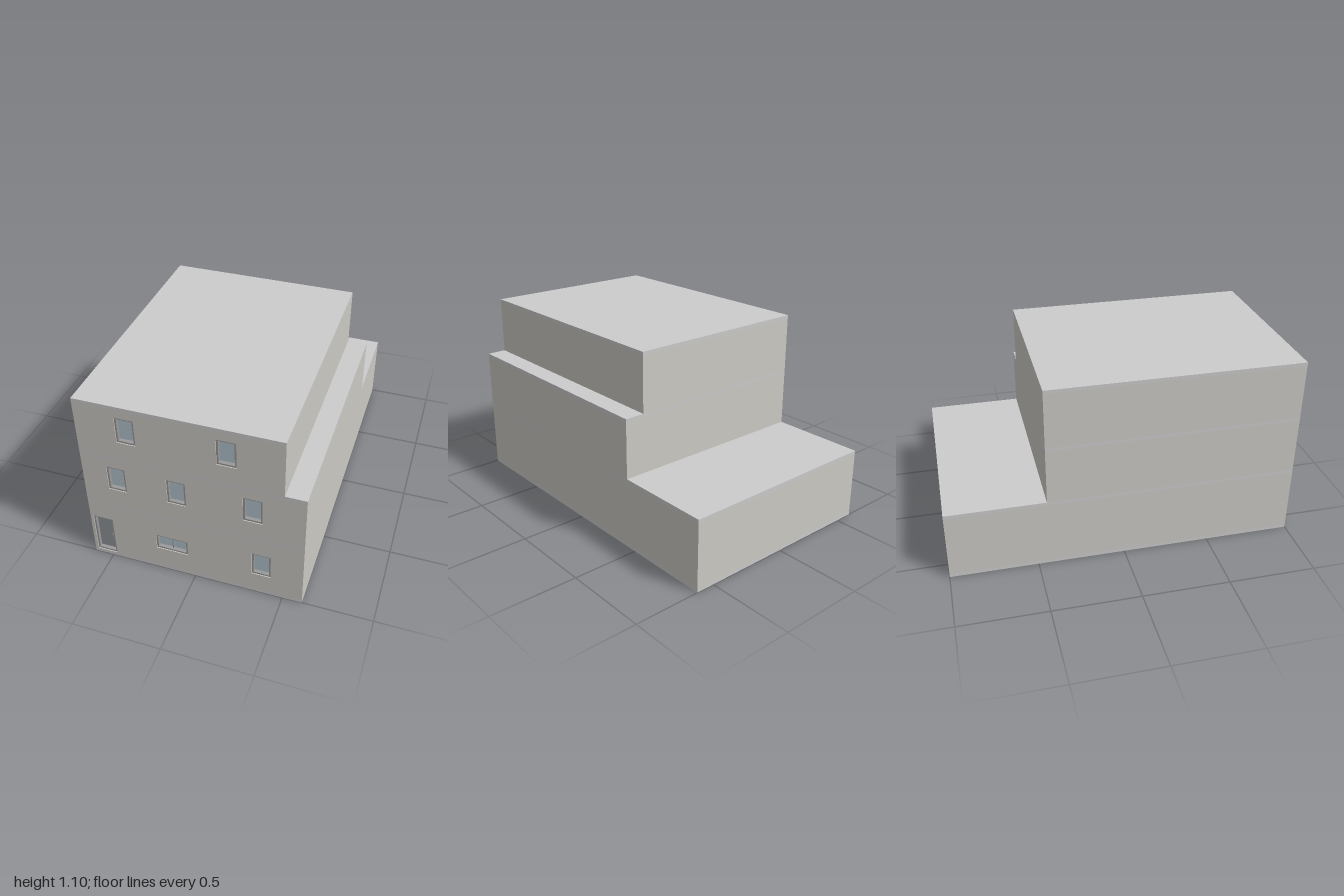
import * as THREE from 'three';

const wallMat = new THREE.MeshStandardMaterial({ color: 0xcccac4 });
const slabMat = new THREE.MeshStandardMaterial({ color: 0xc4c4c3 });
const frameMat = new THREE.MeshStandardMaterial({ color: 0x9a9a9a });
const glassMat = new THREE.MeshStandardMaterial({ color: 0xb4c3cd });
const doorMat = new THREE.MeshStandardMaterial({ color: 0x90959a });

const FRONT = 1, FACADE = 0.04, SLAB = 0.02, RIM = 0.01;

function box(name, mat, x0, x1, y0, y1, z0, z1) {
  const mesh = new THREE.Mesh(new THREE.BoxGeometry(x1 - x0, y1 - y0, z1 - z0), mat);
  mesh.position.set((x0 + x1) / 2, (y0 + y1) / 2, (z0 + z1) / 2);
  mesh.name = name;
  return mesh;
}

function rect(Type, x0, x1, y0, y1) {
  return new Type([[x0, y0], [x1, y0], [x1, y1], [x0, y1]].map(p => new THREE.Vector2(...p)));
}

// Upright panel with rectangular holes, its back at z
function panel(name, mat, outer, holes, z, depth) {
  const shape = rect(THREE.Shape, ...outer);
  holes.forEach(h => shape.holes.push(rect(THREE.Path, ...h)));
  const mesh = new THREE.Mesh(new THREE.ExtrudeGeometry(shape, { depth, bevelEnabled: false }), mat);
  mesh.position.z = z;
  mesh.name = name;
  return mesh;
}

// Recessed frame and pane filling one opening of the facade
function opening({ kind, at: [x0, x1, y0, y1] }) {
  const g = new THREE.Group();
  g.name = kind;
  const inner = [x0 + RIM, x1 - RIM, y0 + RIM, y1 - RIM];
  g.add(panel('frame', frameMat, [x0, x1, y0, y1], [inner], FRONT - 0.035, 0.03));
  const isDoor = kind === 'door';
  g.add(box(isDoor ? 'doorLeaf' : 'glass', isDoor ? doorMat : glassMat, ...inner, FRONT - 0.035, FRONT - 0.025));
  if (isDoor) g.add(box('doorHandle', frameMat, x1 - 0.024, x1 - 0.018, 0.14, 0.155, FRONT - 0.025, FRONT - 0.016));
  if (kind === 'doubleWindow') {
    const c = (x0 + x1) / 2;
    g.add(box('mullion', frameMat, c - 0.003, c + 0.003, inner[2], inner[3], FRONT - 0.025, FRONT - 0.015));
  }
  return g;
}

const win = (...at) => ({ kind: 'window', at });

// Storeys from bottom to top; each steps back from the one below
const storeys = [
  { name: 'groundFloor', x: [-0.61, 0.61], y: [SLAB, 0.415], back: -1, openings: [
    { kind: 'door', at: [-0.592, -0.475, 0.023, 0.287] },
    { kind: 'doubleWindow', at: [-0.221, -0.037, 0.153, 0.254] },
    win(0.327, 0.432, 0.137, 0.294)] },
  { name: 'middleFloor', x: [-0.61, 0.61], y: [0.415, 0.76], back: -0.44, openings:
    [-0.467, -0.133, 0.28].map(x => win(x, x + 0.104, 0.528, 0.687)) },
  { name: 'topFloor', x: [-0.61, 0.495], y: [0.76, 1.1], back: -0.44, openings:
    [-0.386, 0.146].map(x => win(x, x + 0.104, 0.872, 1.031)) },
];

export function createModel() {
  const building = new THREE.Group();
  building.name = 'building';
  building.add(box('baseSlab', slabMat, -0.61, 0.61, 0, SLAB, -1, FRONT));

  for (const { name, x, y: [y0, y1], back, openings } of storeys) {
    const g = new THREE.Group();
    g.name = name;
    const top = y1 - SLAB;
    g.add(box('walls', wallMat, ...x, y0, top, back, FRONT - FACADE));
    g.add(panel('frontWall', wallMat, [...x, y0, top], openings.map(o => o.at), FRONT - FACADE, FACADE));
    g.add(box('roofSlab', slabMat, ...x, top, y1, back, FRONT));
    openings.forEach(o => g.add(opening(o)));
    building.add(g);
  }
  return building;
}
